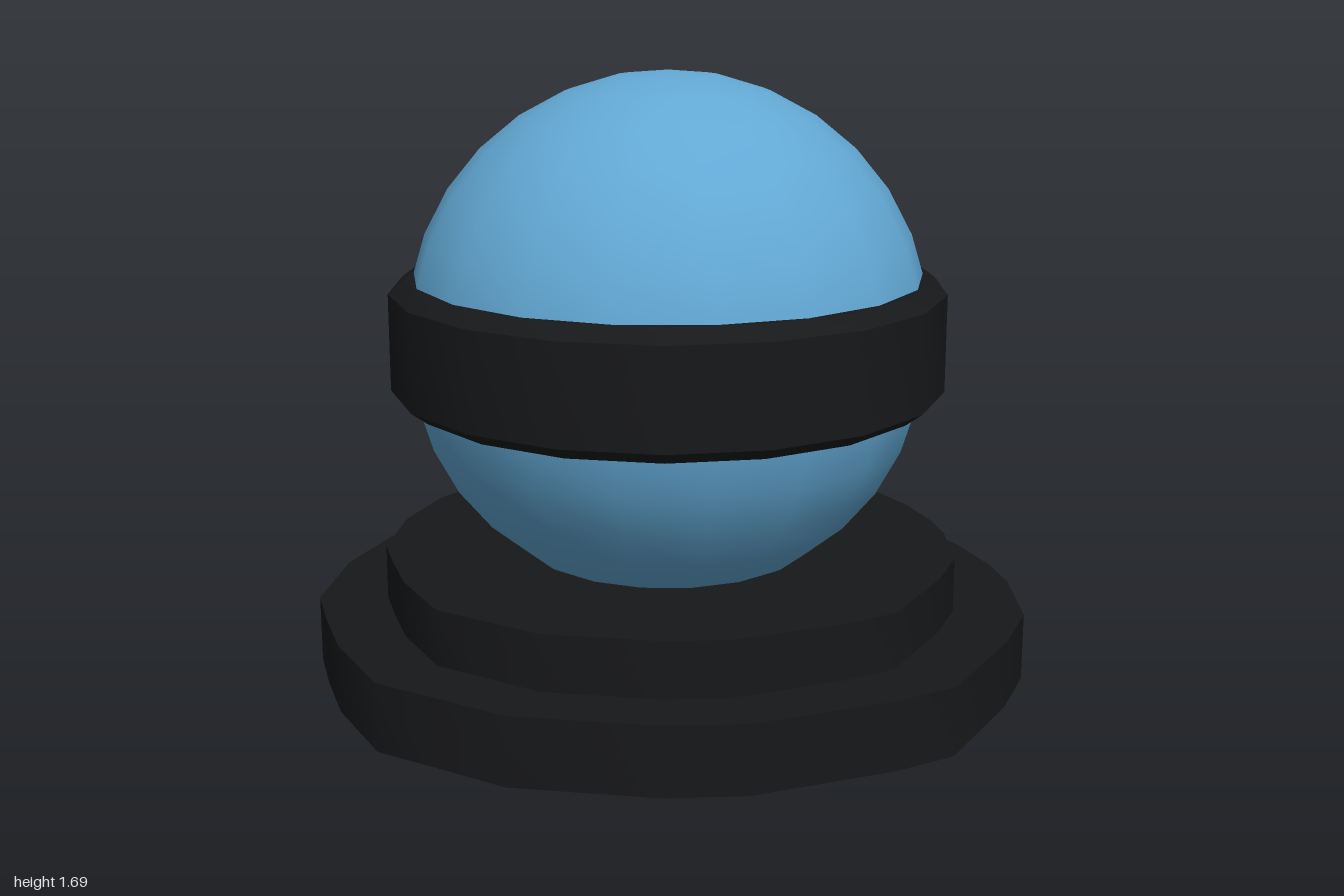
import * as THREE from 'three';
import { toCreasedNormals } from 'three/addons/utils/BufferGeometryUtils.js';

const BLACK = 0x17181a, BLUE = 0x62a8d4;

// Slightly uneven, hand-cut plinth outline as [x, z]
const OUTLINE = [
  [0.12, -0.93], [0.29, -0.89], [0.43, -0.86], [0.62, -0.74], [0.79, -0.62], [0.9, -0.44],
  [0.97, -0.25], [1, -0.1], [1, 0.17], [0.92, 0.37], [0.74, 0.68], [0.58, 0.77], [0.21, 0.91],
  [0, 0.925], [-0.39, 0.87], [-0.58, 0.76], [-0.74, 0.67], [-0.88, 0.42], [-0.95, 0.22],
  [-1, 0.05], [-0.97, -0.25], [-0.88, -0.5], [-0.8, -0.61], [-0.62, -0.77], [-0.43, -0.87],
  [-0.16, -0.92],
];

function addMesh(group, name, geometry, color) {
  const mesh = new THREE.Mesh(geometry, new THREE.MeshStandardMaterial({ color }));
  mesh.name = name;
  group.add(mesh);
  return mesh;
}

// Flat slab with the plinth outline scaled by sx, sz
function slab(sx, sz, height) {
  const shape = new THREE.Shape(OUTLINE.map(([x, z]) => new THREE.Vector2(x * sx, -z * sz)));
  const geometry = new THREE.ExtrudeGeometry(shape, { depth: height, bevelEnabled: false });
  return toCreasedNormals(geometry.rotateX(-Math.PI / 2), 0.55);
}

export function createModel() {
  const model = new THREE.Group();
  model.name = 'bandedBallOnPlinth';

  // Two-step plinth
  addMesh(model, 'plinthBase', slab(1, 1, 0.19), BLACK);
  addMesh(model, 'plinthStep', slab(0.805, 0.83, 0.165), BLACK).position.y = 0.18;

  // Ball resting in the plinth
  addMesh(model, 'ball', new THREE.SphereGeometry(0.73, 18, 16), BLUE).position.y = 0.96;

  // Bevelled band around the middle of the ball
  const profile = [
    [0.68, -0.17], [0.725, -0.17], [0.772, -0.135], [0.772, 0.135], [0.725, 0.17], [0.68, 0.17],
  ].map(([r, y]) => new THREE.Vector2(r, y));
  const band = toCreasedNormals(new THREE.LatheGeometry(profile, 18), 0.6);
  addMesh(model, 'band', band, BLACK).position.y = 0.96;

  return model;
}
